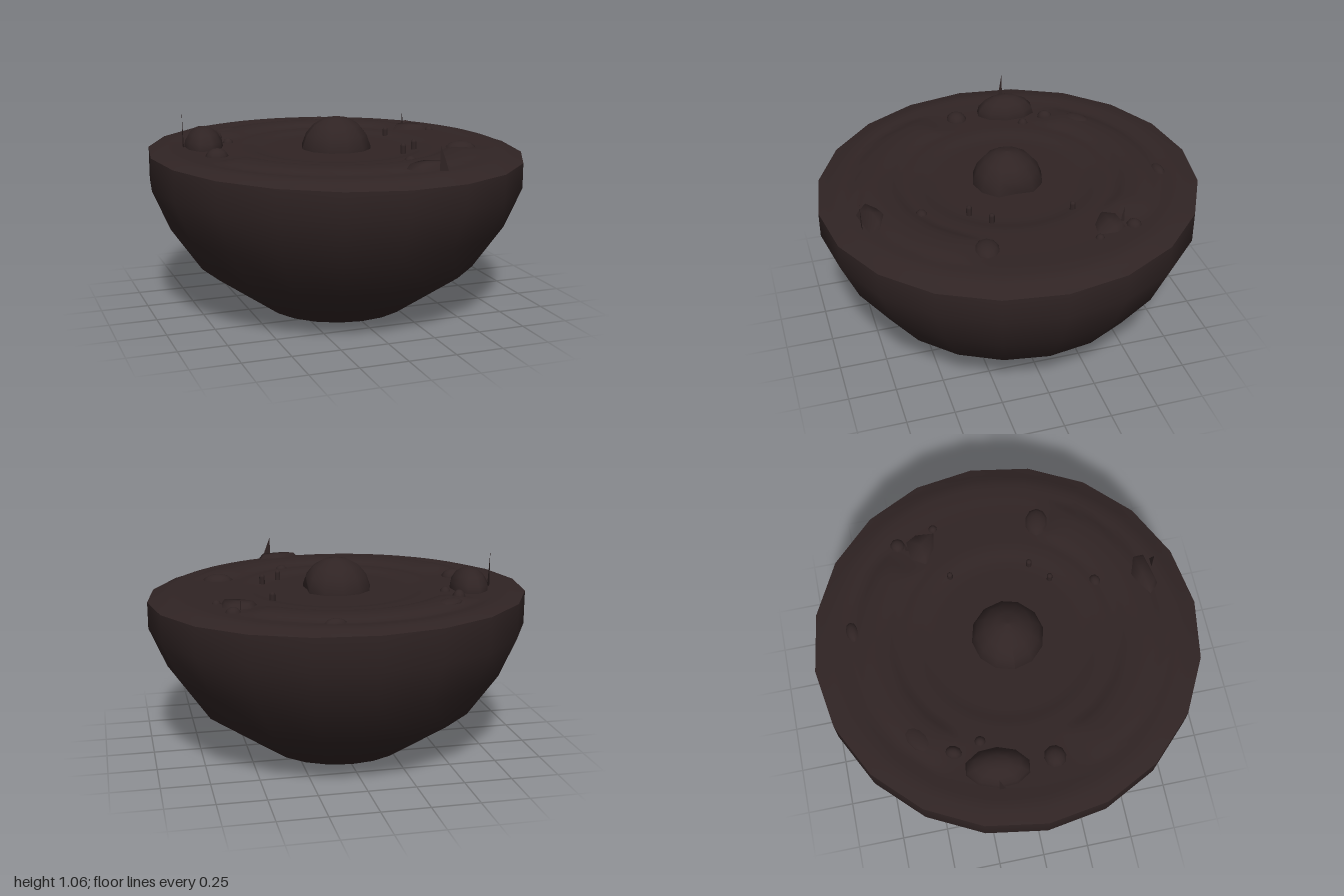
import * as THREE from 'three';

const SIDES = 20;
const STEP = (Math.PI * 2) / SIDES;

// Radius factor that makes a circle follow the 20-sided rim
const facet = (a) => {
  const d = (((a % STEP) + STEP) % STEP) - STEP / 2;
  return Math.cos(STEP / 2) / Math.cos(d);
};
const smooth = THREE.MathUtils.smoothstep;
const rimHeight = (x, z) => 0.845 - 0.015 * x - 0.02 * z;

// Arc-shaped ridge: angle measured from +z towards +x
function ridge(r, a, centre, half, mid, width, height) {
  const d = Math.abs(Math.atan2(Math.sin(a - centre), Math.cos(a - centre)));
  const along = 1 - smooth(d, half - 0.18, half);
  const t = Math.max(0, 1 - ((r - mid) / width) ** 2);
  return height * along * Math.sqrt(t);
}

// Height of the ground at a point
function ground(x, z) {
  const r = Math.hypot(x, z);
  const a = Math.atan2(x, z);
  const edge = smooth(r, 0.78, 1);
  const inside = 0.855 + 0.015 * smooth(r, 0.4, 0.5) - 0.006 * z;
  const lip = 0.016 * Math.exp(-(((r - 0.9) / 0.07) ** 2));
  return THREE.MathUtils.lerp(inside, rimHeight(x, z), edge) + lip
    + ridge(r, a, -0.08, 1.2, 0.69, 0.11, 0.022)
    + ridge(r, a, Math.PI + 0.05, 0.95, 0.68, 0.1, 0.024);
}

export function createModel() {
  const group = new THREE.Group();
  group.name = 'rockGardenBowl';
  const earth = new THREE.MeshStandardMaterial({ color: 0x302424 });
  earth.name = 'dark brown earth';
  const blade = new THREE.MeshStandardMaterial({ color: 0x302424, side: THREE.DoubleSide });
  blade.name = 'dark brown blade';

  const add = (name, geometry, x = 0, y = 0, z = 0, material = earth) => {
    const mesh = new THREE.Mesh(geometry, material);
    mesh.name = name;
    mesh.position.set(x, y, z);
    group.add(mesh);
    return mesh;
  };

  // Bowl-shaped underside with an uneven rim
  const profile = [[0, 0], [0.39, 0], [0.75, 0.25], [0.91, 0.48], [1, 0.69], [1, 0.845]];
  const bowl = new THREE.LatheGeometry(profile.map((p) => new THREE.Vector2(...p)), SIDES);
  const bp = bowl.attributes.position;
  for (let i = 0; i < bp.count; i++) {
    if (bp.getY(i) > 0.8) bp.setY(i, rimHeight(bp.getX(i), bp.getZ(i)));
  }
  add('bowl', bowl);

  // Ground with low curved ridges, built as rings
  const rings = 40;
  const segs = 80;
  const pos = [];
  const index = [];
  for (let i = 0; i <= rings; i++) {
    for (let j = 0; j < segs; j++) {
      const a = (j / segs) * Math.PI * 2;
      const r = (i / rings) * THREE.MathUtils.lerp(1, facet(a), i / rings);
      const x = r * Math.sin(a);
      const z = r * Math.cos(a);
      pos.push(x, i === rings ? rimHeight(x, z) : ground(x, z), z);
      if (i < rings) {
        const p = i * segs + j;
        const q = i * segs + ((j + 1) % segs);
        index.push(p, p + segs, q + segs);
        if (i > 0) index.push(p, q + segs, q);
      }
    }
  }
  const top = new THREE.BufferGeometry();
  top.setAttribute('position', new THREE.Float32BufferAttribute(pos, 3));
  top.setIndex(index);
  top.computeVertexNormals();
  add('ground', top);

  // Central dome with a small hollow on its left side
  const dome = new THREE.SphereGeometry(0.19, 12, 9);
  const dp = dome.attributes.position;
  for (let i = 0; i < dp.count; i++) {
    if (dp.getX(i) > 0.17 && Math.abs(dp.getY(i)) < 0.05) dp.setX(i, 0.155);
  }
  dome.computeVertexNormals();
  add('dome', dome, 0, 0.835, 0);

  // Rounded stones: x, z, half width, half depth, top height, turn
  const stones = [
    [-0.68, -0.19, 0.105, 0.17, 0.98, -0.15], [-0.68, 0.1, 0.062, 0.058, 0.91, 0.3],
    [-0.56, -0.39, 0.035, 0.045, 0.91, -0.4], [-0.53, -0.25, 0.03, 0.03, 0.895, 0],
    [0.61, -0.47, 0.042, 0.04, 0.9, 0.4], [0.67, -0.27, 0.025, 0.025, 0.89, 0],
    [0.6, 0.28, 0.085, 0.065, 0.9, -0.2], [0.21, 0.51, 0.035, 0.03, 0.885, 0.3],
    [-0.46, -0.55, 0.085, 0.05, 0.905, 0.6], [0.17, -0.78, 0.06, 0.035, 0.9, 0.1],
  ];
  for (const [x, z, w, d, h, turn] of stones) {
    const base = ground(x, z) - 0.012;
    const stone = add('stone', new THREE.SphereGeometry(1, 10, 8), x, base, z);
    stone.scale.set(w, h - base, d);
    stone.rotation.y = turn;
  }

  // Angular slabs: outline in x and z, top height
  const slabs = [
    [[[0.45, -0.34], [0.5, -0.43], [0.63, -0.44], [0.67, -0.37], [0.66, -0.25], [0.55, -0.27]], 0.9],
    [[[0.04, 0.78], [0.13, 0.71], [0.2, 0.68], [0.32, 0.73], [0.32, 0.8], [0.12, 0.84]], 0.905],
  ];
  for (const [outline, h] of slabs) {
    const n = outline.length;
    const cx = outline.reduce((s, p) => s + p[0], 0) / n;
    const cz = outline.reduce((s, p) => s + p[1], 0) / n;
    const v = [0, h, 0];
    const f = [];
    for (const [s, y] of [[0.65, h - 0.004], [1, 0.84]]) {
      for (const [x, z] of outline) v.push((x - cx) * s, y, (z - cz) * s);
    }
    for (let i = 0; i < n; i++) {
      const a = 1 + i;
      const b = 1 + ((i + 1) % n);
      f.push(0, b, a, a, b, b + n, a, b + n, a + n);
    }
    const g = new THREE.BufferGeometry();
    g.setAttribute('position', new THREE.Float32BufferAttribute(v, 3));
    g.setIndex(f);
    g.computeVertexNormals();
    add('slab', g, cx, 0, cz, blade);
  }

  // Short pegs near the dome
  for (const [x, z] of [[0.38, -0.23], [0.37, 0.19], [0.27, 0.28]]) {
    add('peg', new THREE.CapsuleGeometry(0.015, 0.045, 3, 8), x, 0.87, z);
  }

  // Thin upright blades: x, z, tip height, width, turn
  const blades = [
    [-0.79, -0.205, 1.06, 0.045, -Math.PI / 2],
    [0.225, 0.82, 0.99, 0.055, 0],
    [0.57, -0.435, 0.96, 0.025, -Math.PI / 2],
  ];
  for (const [x, z, tip, w, turn] of blades) {
    const shape = new THREE.Shape([[0, 0.84], [w, 0.84], [w * 0.6, 0.91], [0.003, tip]].map((p) => new THREE.Vector2(...p)));
    add('blade', new THREE.ShapeGeometry(shape), x, 0, z, blade).rotation.y = turn;
  }
  return group;
}
